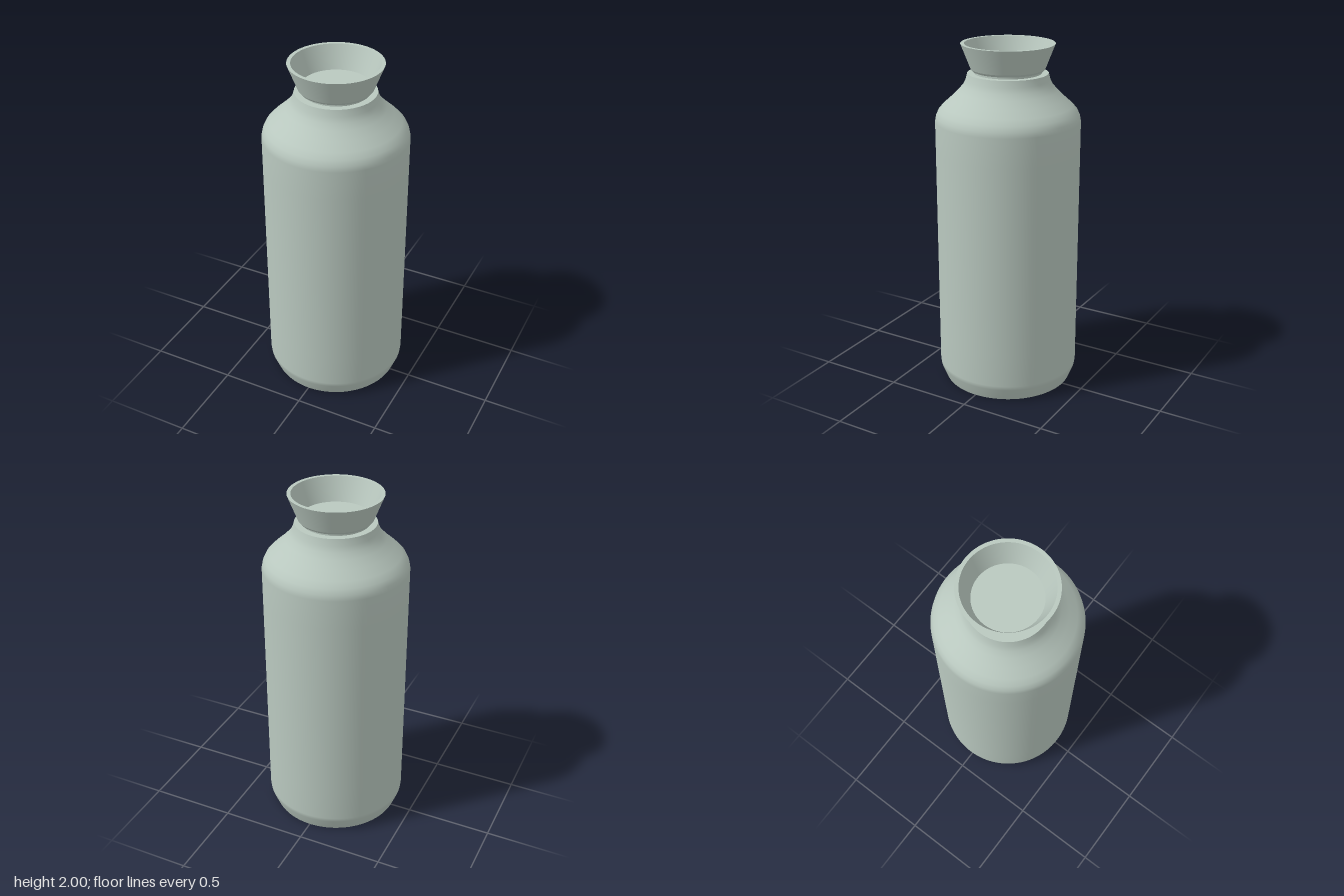
import * as THREE from 'three';

// Lathe one smooth run of [radius, y] points; separate runs keep hard edges between them
function lathe(name, points, material) {
  const profile = points.map(([r, y]) => new THREE.Vector2(r, y));
  const mesh = new THREE.Mesh(new THREE.LatheGeometry(profile, 96), material);
  mesh.name = name;
  return mesh;
}

function part(name, runs, material) {
  const group = new THREE.Group();
  group.name = name;
  for (const [runName, points] of Object.entries(runs)) group.add(lathe(runName, points, material));
  return group;
}

export function createModel() {
  const sage = new THREE.MeshStandardMaterial({ color: 0xb9c8bf });
  sage.name = 'sage green';

  const model = new THREE.Group();
  model.name = 'bottle';

  // Body: flat base, bevelled foot, straight wall, S-curved shoulder, flat lip
  model.add(part('body', {
    base: [[0, 0], [0.375, 0]],
    wall: [[0.375, 0], [0.405, 0.075], [0.408, 0.1], [0.408, 0.3], [0.408, 1.4], [0.408, 1.57],
      [0.402, 1.6], [0.388, 1.63], [0.36, 1.66], [0.315, 1.7], [0.275, 1.74],
      [0.25, 1.77], [0.235, 1.8], [0.225, 1.837]],
    lip: [[0.225, 1.837], [0.18, 1.837]],
  }, sage));

  // Narrow neck between body and stopper
  model.add(lathe('neck', [[0.187, 1.83], [0.187, 1.853]], sage));

  // Stopper: flared hollow cup with a thin rim
  model.add(part('stopper', {
    underside: [[0.18, 1.85], [0.198, 1.85]],
    foot: [[0.198, 1.85], [0.207, 1.862]],
    flare: [[0.207, 1.862], [0.261, 2]],
    rim: [[0.261, 2], [0.24, 2]],
    innerWall: [[0.24, 2], [0.187, 1.87]],
    innerFloor: [[0.187, 1.87], [0, 1.87]],
  }, sage));

  return model;
}
